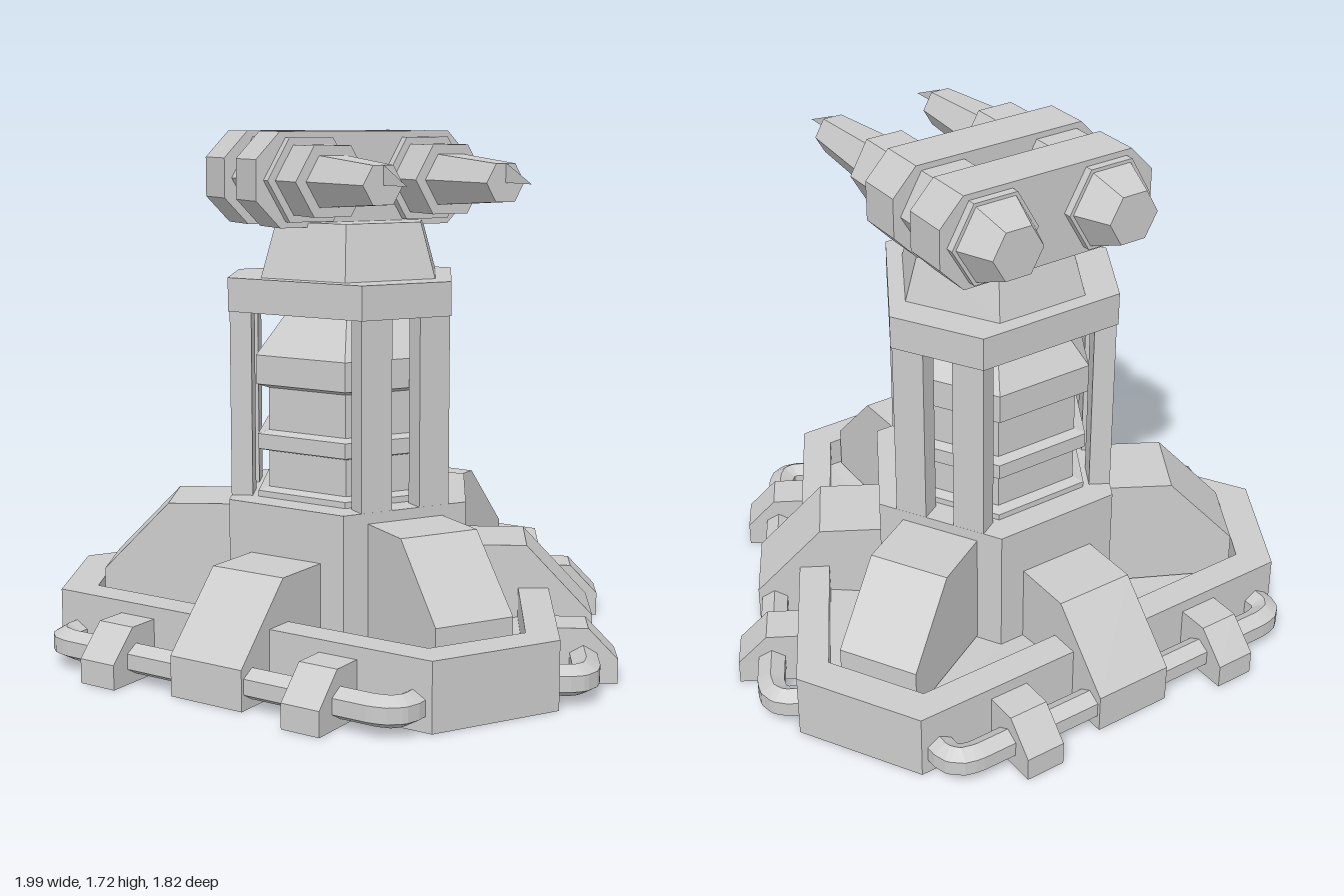
import * as THREE from 'three';

const grey = new THREE.MeshStandardMaterial({ color: 0xcccccc, flatShading: true });
const shell = new THREE.MeshStandardMaterial({ color: 0xcccccc, flatShading: true, side: THREE.DoubleSide });
const V = (x, y, z) => new THREE.Vector3(x, y, z);

function add(parent, name, geometry, material = grey) {
  const mesh = new THREE.Mesh(geometry, material);
  mesh.name = name;
  parent.add(mesh);
  return mesh;
}

// Six-sided plan with threefold symmetry: d = distance to the short sides, w = their half width
function plan(d, w) {
  const pts = [];
  for (let k = 0; k < 3; k++) {
    const a = -Math.PI / 2 + k * Math.PI * 2 / 3;
    const c = Math.cos(a), s = Math.sin(a);
    pts.push(new THREE.Vector2(c * d + s * w, s * d - c * w));
    pts.push(new THREE.Vector2(c * d - s * w, s * d + c * w));
  }
  return pts;
}

// Horizontal slab between two heights
function slab(outer, y0, y1) {
  return new THREE.ExtrudeGeometry(new THREE.Shape(outer), { depth: y1 - y0, bevelEnabled: false })
    .rotateX(-Math.PI / 2).translate(0, y0, 0);
}

// Sheet joining six-sided sections [d, w, height]
function sheet(sections) {
  const rings = sections.map(([d, w, y]) => plan(d, w).map(p => [p.x, y, -p.y]));
  const pos = [];
  for (let i = 0; i + 1 < rings.length; i++) {
    for (let j = 0; j < 6; j++) {
      const n = (j + 1) % 6;
      const a = rings[i][j], b = rings[i][n], c = rings[i + 1][n], d = rings[i + 1][j];
      pos.push(...a, ...b, ...c, ...a, ...c, ...d);
    }
  }
  const g = new THREE.BufferGeometry();
  g.setAttribute('position', new THREE.Float32BufferAttribute(pos, 3));
  g.computeVertexNormals();
  return g;
}

// Side profile of (distance outwards, height), extruded across its width, facing +z
function bracket(profile, width) {
  const shape = new THREE.Shape(profile.map(p => new THREE.Vector2(...p)));
  return new THREE.ExtrudeGeometry(shape, { depth: width, bevelEnabled: false })
    .translate(0, 0, -width / 2).rotateY(-Math.PI / 2);
}

// Removes the faces lying on the ground, leaving a hollow part
function openBelow(geometry) {
  const p = geometry.getAttribute('position');
  const kept = [];
  for (let i = 0; i < p.count; i += 3) {
    if (Math.max(p.getY(i), p.getY(i + 1), p.getY(i + 2)) < 1e-4) continue;
    for (let j = i; j < i + 3; j++) kept.push(p.getX(j), p.getY(j), p.getZ(j));
  }
  const g = new THREE.BufferGeometry();
  g.setAttribute('position', new THREE.Float32BufferAttribute(kept, 3));
  g.computeVertexNormals();
  return g;
}

// Hexagonal turned body, corners on +x and -x
function hexLathe(profile) {
  return new THREE.LatheGeometry(profile.map(p => new THREE.Vector2(...p)), 6, Math.PI / 2);
}

// Pipe with bevelled corners along a long side of the base
function pipe() {
  const half = [[0.645, 0.664], [0.645, 0.71], [0.622, 0.742], [0.575, 0.755]];
  const pts = [...half.map(([x, r]) => V(-x, 0.075, r)), ...half.reverse().map(([x, r]) => V(x, 0.075, r))];
  const path = new THREE.CurvePath();
  for (let i = 0; i + 1 < pts.length; i++) path.add(new THREE.LineCurve3(pts[i], pts[i + 1]));
  return new THREE.TubeGeometry(path, 80, 0.05, 6, false);
}

export function createModel() {
  const model = new THREE.Group();
  model.name = 'turret';
  const body = new THREE.Group();
  body.name = 'body';
  body.position.z = -0.047;
  model.add(body);

  // Hollow base tray (wall, rim, inner wall, floor, recessed middle) and pedestal
  add(body, 'baseTray', sheet([
    [0.947, 0.22, 0], [0.947, 0.22, 0.22], [0.834, 0.169, 0.22], [0.834, 0.169, 0.12],
    [0.385, 0.222, 0.1], [0.34, 0.196, 0.12], [0, 0, 0.12]]), shell);
  add(body, 'pedestal', hexLathe([[0.445, 0.1], [0.445, 0.53], [0, 0.53]]));

  // Parts repeated on the three sides
  for (let k = 0; k < 3; k++) {
    const side = new THREE.Group();
    side.name = 'side' + (k + 1);
    side.rotation.y = k * Math.PI * 2 / 3;
    body.add(side);

    add(side, 'buttress', bracket(
      [[0.37, 0.105], [0.817, 0.125], [0.817, 0.27], [0.6, 0.495], [0.37, 0.495]], 0.27));
    for (const s of [-1, 1]) {
      add(side, 'post', new THREE.BoxGeometry(0.108, 0.61, 0.07).translate(s * 0.104, 0.835, 0.35));
    }

    // Long side, opposite the buttress
    const long = new THREE.Group();
    long.name = 'longSide';
    long.rotation.y = Math.PI;
    side.add(long);
    add(long, 'largeClamp', openBelow(bracket(
      [[0.37, 0], [0.81, 0], [0.81, 0.13], [0.59, 0.365], [0.37, 0.365]], 0.27)), shell);
    add(long, 'pipe', pipe(), shell);
    for (const s of [-1, 1]) {
      add(long, 'pipeClamp', openBelow(bracket(
        [[0.665, 0], [0.865, 0], [0.865, 0.08], [0.77, 0.18], [0.665, 0.18]], 0.135)), shell)
        .position.x = s * 0.385;
    }
  }

  // Ribbed core inside the posts, cap and neck
  add(body, 'core', hexLathe([
    [0.34, 0.53], [0.34, 0.55], [0.3, 0.56], [0.3, 0.68], [0.34, 0.69], [0.34, 0.74], [0.3, 0.75],
    [0.3, 0.89], [0.345, 0.905], [0.345, 1], [0.22, 1.15]]));
  add(body, 'cap', slab(plan(0.39, 0.16), 1.14, 1.25));
  add(body, 'neck', hexLathe([[0.325, 1.25], [0.27, 1.43], [0, 1.43]]));

  // Twin guns
  const guns = new THREE.Group();
  guns.name = 'guns';
  guns.position.y = 1.567;
  model.add(guns);
  for (const s of [-1, 1]) {
    const gun = new THREE.Group();
    gun.name = s > 0 ? 'leftGun' : 'rightGun';
    gun.position.x = s * 0.21;
    guns.add(gun);
    add(gun, 'barrel', hexLathe([
      [0, -0.49], [0.09, -0.49], [0.14, -0.375], [0.153, -0.375], [0.153, 0.095], [0.127, 0.095],
      [0.127, 0.245], [0.092, 0.245], [0.067, 0.575], [0, 0.575]
    ]).rotateX(Math.PI / 2));
    // Thin blade at the muzzle
    const blade = new THREE.Shape([[0.575, 0], [0.72, 0], [0.575, 0.06]]
      .map(p => new THREE.Vector2(...p)));
    add(gun, 'muzzleBlade', new THREE.ShapeGeometry(blade).rotateY(-Math.PI / 2), shell);
  }

  // Bands holding the guns together
  const band = [[0.305, -0.152], [0.388, -0.065], [0.388, 0.065], [0.305, 0.152]];
  const outline = [...band, ...band.map(([x, y]) => [-x, -y])].map(p => new THREE.Vector2(...p));
  for (const z of [-0.348, -0.095]) {
    add(guns, 'gunBand', new THREE.ExtrudeGeometry(new THREE.Shape(outline),
      { depth: 0.158, bevelEnabled: false })).position.z = z;
  }
  return model;
}
